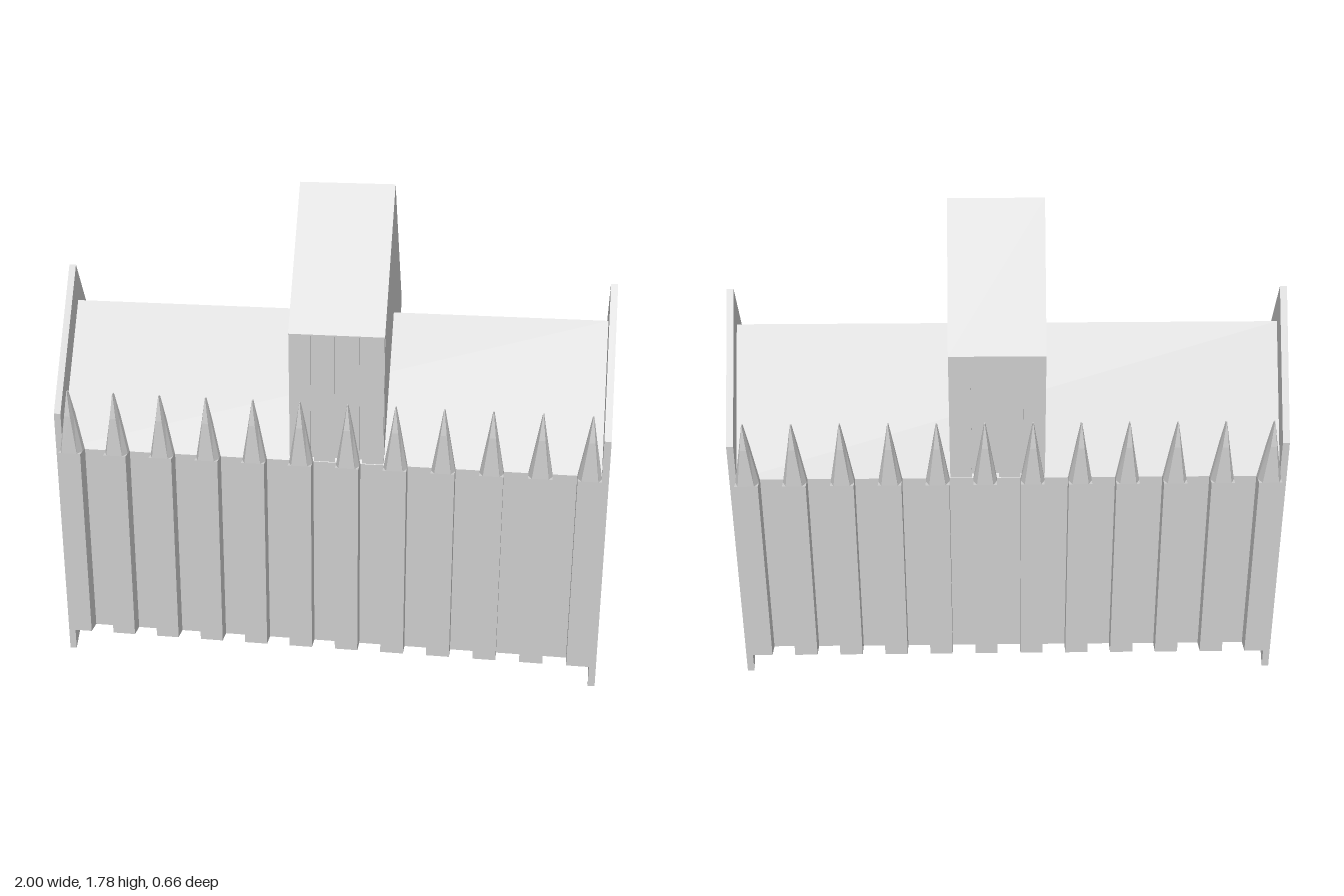
import * as THREE from 'three';

const material = new THREE.MeshStandardMaterial({ color: 0xcccccc, flatShading: true });

function add(parent, name, geometry, x = 0, y = 0, z = 0) {
  const mesh = new THREE.Mesh(geometry, material);
  mesh.name = name;
  mesh.position.set(x, y, z);
  parent.add(mesh);
  return mesh;
}

// Extrudes a (z, y) outline along x, centred on x = 0
function extrudeAlongX(points, length) {
  const shape = new THREE.Shape(points.map(([z, y]) => new THREE.Vector2(z, y)));
  const geometry = new THREE.ExtrudeGeometry(shape, { depth: length, bevelEnabled: false });
  return geometry.translate(0, 0, -length / 2).rotateY(-Math.PI / 2);
}

// House-shaped outline: floor, eaves and ridge
const house = (halfWidth, floor, eaves, ridge) => [
  [-halfWidth, floor], [halfWidth, floor], [halfWidth, eaves], [0, ridge], [-halfWidth, eaves],
];

// Pinnacle lofted through six-sided rings: [y, half width, front half width, back z, middle z, front z]
function pinnacleGeometry() {
  const rings = [
    [0.83, 0.042, 0.029, 0.277, 0.302, 0.332],
    [0.97, 0.017, 0.011, 0.283, 0.304, 0.327],
    [1.06, 0.002, 0.001, 0.299, 0.306, 0.314],
  ];
  const positions = [];
  const indices = [];
  for (const [y, w, f, back, mid, front] of rings) {
    positions.push(-w, y, back, -w, y, mid, -f, y, front, f, y, front, w, y, mid, w, y, back);
  }
  for (let r = 0; r < rings.length - 1; r++) {
    for (let j = 0; j < 6; j++) {
      const a = r * 6 + j, b = r * 6 + (j + 1) % 6;
      indices.push(a, b, b + 6, a, b + 6, a + 6);
    }
  }
  const top = (rings.length - 1) * 6;
  for (let j = 1; j < 5; j++) indices.push(top, top + j, top + j + 1);
  const geometry = new THREE.BufferGeometry();
  geometry.setAttribute('position', new THREE.Float32BufferAttribute(positions, 3));
  geometry.setIndex(indices);
  geometry.computeVertexNormals();
  return geometry;
}

export function createModel() {
  const model = new THREE.Group();
  model.name = 'hall';

  // Long hall with steep roof
  add(model, 'nave', extrudeAlongX(house(0.275, 0.11, 0.828, 1.315), 1.95));

  // Raised cross block: gabled roof over a slightly inset core
  const tower = new THREE.Group();
  tower.name = 'tower';
  tower.position.x = 0.04;
  model.add(tower);
  add(tower, 'towerRoof', extrudeAlongX(house(0.275, 1.295, 1.3, 1.78), 0.34));
  add(tower, 'towerCore', new THREE.BoxGeometry(0.34, 0.5, 0.534), 0, 1.05, 0);

  // Gable frames with legs reaching the ground
  const frame = extrudeAlongX([
    [0.275, 0], [0.275, 0.96], [0, 1.45], [-0.275, 0.96], [-0.275, 0],
    [-0.225, 0.05], [-0.225, 0.87], [0, 1.27], [0.225, 0.87], [0.225, 0.05],
  ], 0.025);
  for (const side of [-1, 1]) add(model, 'gableFrame', frame, side * 0.9875);

  // Buttresses, pinnacles and tower panels on both long sides
  const buttress = new THREE.BoxGeometry(0.084, 0.72, 0.062);
  const pinnacle = pinnacleGeometry();
  const panel = new THREE.BoxGeometry(0.076, 0.475, 0.012);
  for (const side of [1, -1]) {
    const row = new THREE.Group();
    row.name = side > 0 ? 'frontRow' : 'backRow';
    row.rotation.y = side > 0 ? 0 : Math.PI;
    model.add(row);
    for (let i = 0; i < 12; i++) {
      const x = (i - 5.5) * 0.1695;
      add(row, 'buttress', buttress, x, 0.47, 0.301);
      add(row, 'pinnacle', pinnacle, x);
    }
    for (let i = 0; i < 4; i++) {
      add(row, 'towerPanel', panel, side * 0.04 + (i - 1.5) * 0.087, 1.06, 0.268);
    }
  }
  return model;
}
